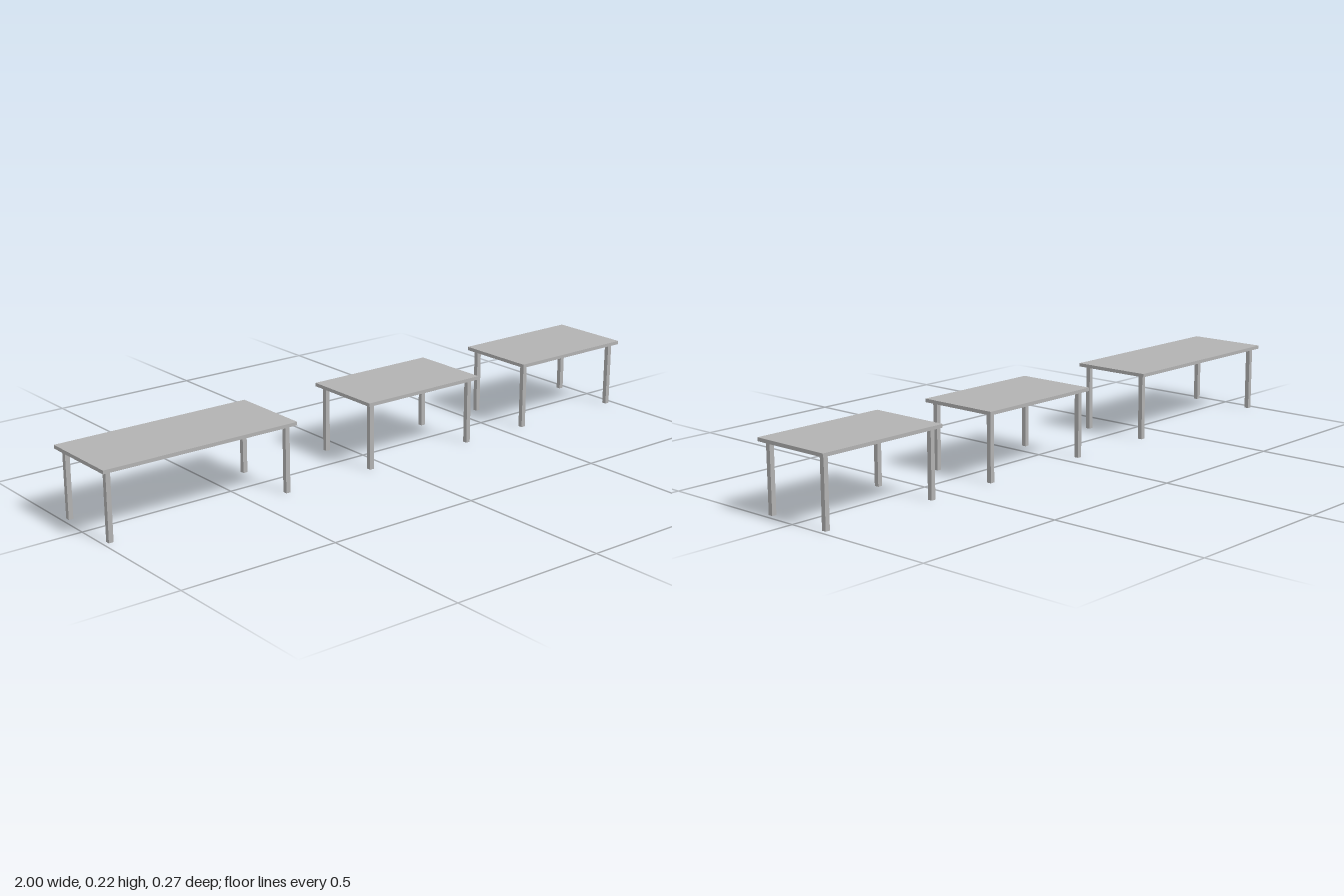
import * as THREE from 'three';

const HEIGHT = 0.22, THICK = 0.011, DEPTH = 0.266;
const LEG = 0.0148, INSET = 0.0235; // leg width, leg centre from the edge

export function createModel() {
  const model = new THREE.Group();
  model.name = 'tables';
  const grey = new THREE.MeshStandardMaterial({ color: 0xb2b2b2 });
  grey.name = 'grey';

  const addBox = (parent, name, w, h, d, x, y, z) => {
    const mesh = new THREE.Mesh(new THREE.BoxGeometry(w, h, d), grey);
    mesh.name = name;
    mesh.position.set(x, y, z);
    parent.add(mesh);
  };

  // A slab top on four square legs, spanning x0 to x1
  const addTable = (name, x0, x1) => {
    const table = new THREE.Group();
    table.name = name;
    table.position.x = (x0 + x1) / 2;
    const width = x1 - x0, legHeight = HEIGHT - THICK;
    addBox(table, 'tableTop', width, THICK, DEPTH, 0, HEIGHT - THICK / 2, 0);
    for (const sx of [-1, 1]) {
      for (const sz of [-1, 1]) {
        const legName = (sz > 0 ? 'front' : 'back') + (sx > 0 ? 'Left' : 'Right') + 'Leg';
        addBox(table, legName, LEG, legHeight, LEG,
          sx * (width / 2 - INSET), legHeight / 2, sz * (DEPTH / 2 - INSET));
      }
    }
    model.add(table);
  };

  addTable('longTable', -1, -0.352);
  addTable('middleTable', -0.082, 0.36);
  addTable('endTable', 0.557, 1);
  return model;
}
